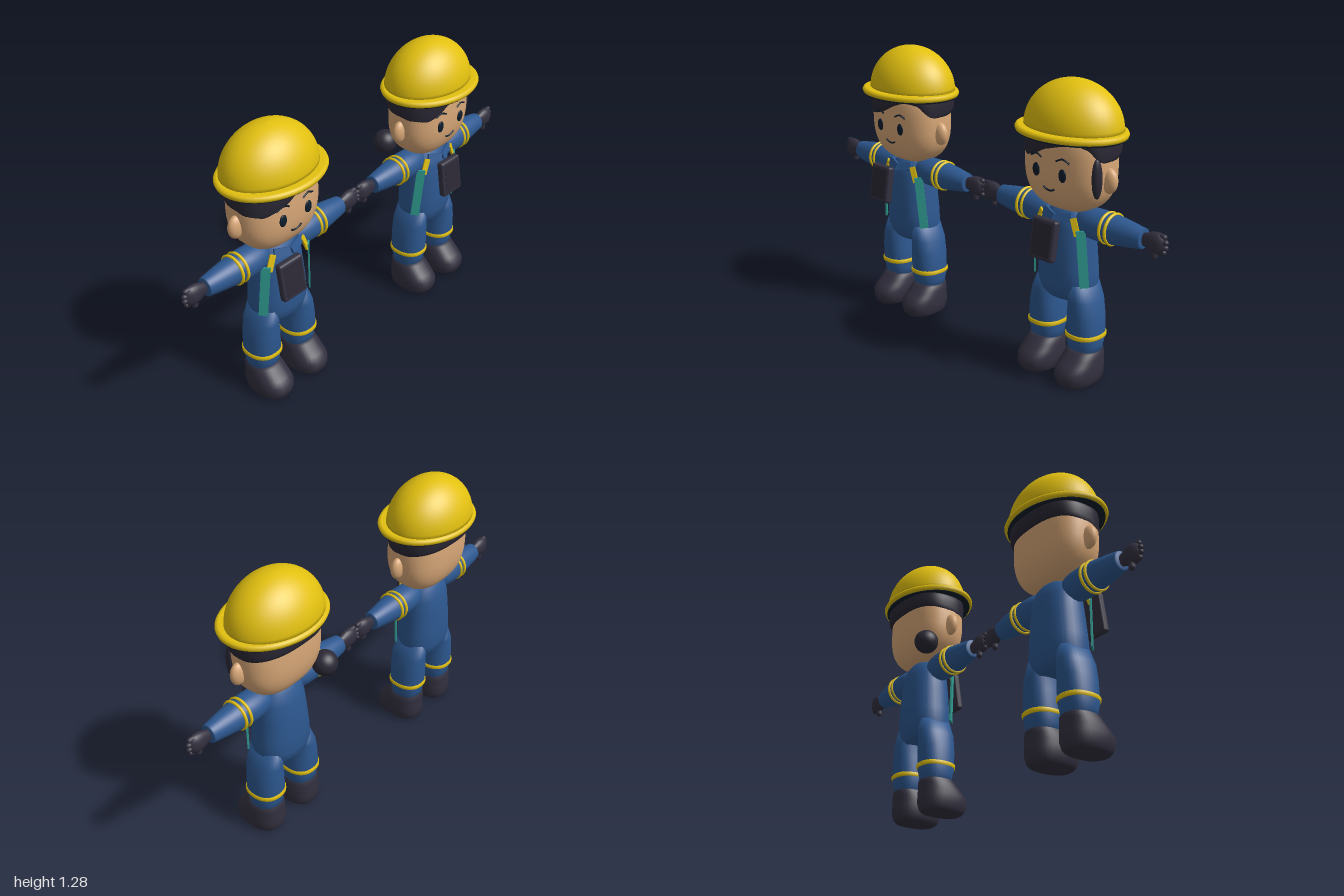
import * as THREE from 'three';
import { RoundedBoxGeometry } from 'three/addons/geometries/RoundedBoxGeometry.js';

const mat = (name, color) => {
  const m = new THREE.MeshStandardMaterial({ color });
  m.name = name;
  return m;
};

// Stacks superellipse rings [y or y(x, z), rx, rz, cx, cz] from bottom to top, with closed ends.
function loft(rings, p = 2, n = 32) {
  const pos = [], idx = [];
  const bend = (v) => Math.sign(v) * Math.abs(v) ** (2 / p);
  for (const [y, rx, rz, cx = 0, cz = 0] of rings) {
    for (let j = 0; j < n; j++) {
      const a = (j / n) * Math.PI * 2;
      const x = cx + rx * bend(Math.cos(a)), z = cz + rz * bend(Math.sin(a));
      pos.push(x, typeof y === 'function' ? y(x, z) : y, z);
    }
  }
  for (let i = 0; i < rings.length - 1; i++) {
    for (let j = 0; j < n; j++) {
      const a = i * n + j, b = i * n + ((j + 1) % n);
      idx.push(a, a + n, b, a + n, b + n, b);
    }
  }
  const last = (rings.length - 1) * n, c = rings.length * n;
  for (const [y, , , cx = 0, cz = 0] of [rings[0], rings[rings.length - 1]]) {
    pos.push(cx, typeof y === 'function' ? y(cx, cz) : y, cz);
  }
  for (let j = 0; j < n; j++) {
    const k = (j + 1) % n;
    idx.push(c, j, k, c + 1, last + k, last + j);
  }
  const g = new THREE.BufferGeometry();
  g.setAttribute('position', new THREE.Float32BufferAttribute(pos, 3));
  g.setIndex(idx);
  g.computeVertexNormals();
  return g;
}

const ball = (rx, ry, rz) => new THREE.SphereGeometry(1, 24, 16).scale(rx, ry, rz);

// Rounded head, also used to seat the face on its surface.
const HEAD = { y: 0.95, rx: 0.205, ry: 0.208, rz: 0.135, cz: -0.005, p: 2.6 };
const faceZ = (x, y) => {
  const k = (1 - Math.abs((y - HEAD.y) / HEAD.ry) ** HEAD.p) ** (1 / HEAD.p);
  return HEAD.cz + HEAD.rz * k * (1 - Math.abs(x / (HEAD.rx * k)) ** HEAD.p) ** (1 / HEAD.p);
};
const headGeometry = () => {
  const rings = [];
  for (let i = 0; i <= 24; i++) {
    const a = -Math.PI / 2 + (Math.PI * i) / 24;
    const s = Math.max(Math.cos(a), 0.001) ** (2 / HEAD.p);
    const h = Math.sign(Math.sin(a)) * Math.abs(Math.sin(a)) ** (2 / HEAD.p);
    rings.push([HEAD.y + HEAD.ry * h, HEAD.rx * s, HEAD.rz * s, 0, HEAD.cz]);
  }
  return loft(rings, HEAD.p, 48);
};

// Lower hair edge: a swept fringe in front, an even line behind.
const hairEdge = (fringe) => (x, z) => {
  let i = 0;
  while (i < fringe.length - 2 && x > fringe[i + 1][0]) i++;
  const [x0, y0] = fringe[i], [x1, y1] = fringe[i + 1];
  const front = THREE.MathUtils.lerp(y0, y1, THREE.MathUtils.clamp((x - x0) / (x1 - x0), 0, 1));
  const back = 0.97 - 0.22 * Math.min(0, z + 0.02);
  return THREE.MathUtils.lerp(back, front, THREE.MathUtils.smoothstep(z, 0.0, 0.05));
};

export function createModel() {
  const yellow = mat('safety yellow', 0xe2c010);
  const skin = mat('skin', 0xd9a878);
  const blue = mat('overall blue', 0x2d5890);
  const dark = mat('boot charcoal', 0x33303f);
  const hairMat = mat('hair', 0x2b2835);
  const teal = mat('strap teal', 0x2f9c92);
  const navy = mat('dark navy', 0x0d1c2b);

  const add = (parent, name, geometry, material, p = [0, 0, 0], r = [0, 0, 0]) => {
    const m = new THREE.Mesh(geometry, material);
    m.name = name;
    m.position.set(...p);
    m.rotation.set(...r);
    parent.add(m);
    return m;
  };
  const line = (parent, name, pts, radius) => {
    const curve = new THREE.CatmullRomCurve3(pts.map(([x, y]) => new THREE.Vector3(x, y, faceZ(x, y) + 0.002)));
    add(parent, name, new THREE.TubeGeometry(curve, 14, radius, 6), navy);
  };

  // Arm pointing along +x; the other arm is the same group turned around.
  function arm(name) {
    const g = new THREE.Group();
    g.name = name;
    const along = [0, 0, -Math.PI / 2];
    add(g, 'sleeve', loft([[0.06, 0.04, 0.04], [0.09, 0.058, 0.056], [0.13, 0.065, 0.064], [0.18, 0.066, 0.066],
      [0.25, 0.062, 0.06], [0.32, 0.053, 0.05], [0.385, 0.043, 0.04], [0.39, 0.038, 0.035]]), blue, [0, 0, 0], along);
    for (const x of [0.212, 0.24]) {
      add(g, 'sleeveStripe', new THREE.TorusGeometry(0.063, 0.007, 8, 32), yellow, [x, 0, 0], [0, Math.PI / 2, 0]);
    }
    add(g, 'glove', loft([[0.38, 0.026, 0.018], [0.4, 0.03, 0.02], [0.43, 0.043, 0.027], [0.46, 0.045, 0.027],
      [0.485, 0.034, 0.018]]), dark, [0, 0, 0], along);
    for (let i = 0; i < 4; i++) {
      const inset = i === 0 || i === 3 ? 0.008 : 0;
      add(g, 'finger', new THREE.CapsuleGeometry(0.012, 0.03, 4, 10), dark, [0.476 - inset, -0.031 + i * 0.021, 0], along);
    }
    add(g, 'thumb', new THREE.CapsuleGeometry(0.014, 0.03, 4, 10), dark, [0.442, -0.041, 0.003]);
    g.position.y = 0.71;
    return g;
  }

  function worker(name, x, fringe, padX, longHair) {
    const g = new THREE.Group();
    g.name = name;
    g.position.x = x;

    // Overalls
    add(g, 'torso', loft([[0.36, 0.09, 0.07], [0.385, 0.125, 0.09], [0.43, 0.138, 0.102], [0.5, 0.132, 0.104],
      [0.6, 0.122, 0.099], [0.68, 0.115, 0.09], [0.73, 0.1, 0.075], [0.765, 0.06, 0.05]]
      .map((r) => [...r, 0, -0.006]), 2.3), blue);
    for (const s of [1, -1]) {
      add(g, 'trouserLeg', loft([[0.12, 0.066, 0.068, 0.107], [0.17, 0.071, 0.074, 0.107], [0.205, 0.077, 0.083, 0.107],
        [0.3, 0.07, 0.086, 0.106], [0.37, 0.06, 0.087, 0.102], [0.44, 0.048, 0.08, 0.085]]
        .map(([y, rx, rz, cx]) => [y, rx, rz, cx * s, -0.005]), 2.3), blue);
      add(g, 'legStripe', loft([[0.203, 0.074, 0.083], [0.207, 0.08, 0.088], [0.221, 0.08, 0.088], [0.226, 0.074, 0.083]]
        .map((r) => [...r, 0.107 * s, -0.005]), 2.3), yellow);
      add(g, 'boot', loft([[0, 0.066, 0.095, 0, 0.03], [0.012, 0.077, 0.107, 0, 0.031], [0.04, 0.084, 0.116, 0, 0.032],
        [0.07, 0.084, 0.115, 0, 0.031], [0.095, 0.081, 0.102, 0, 0.02], [0.12, 0.077, 0.089, 0, 0.007],
        [0.142, 0.071, 0.079, 0, -0.002], [0.153, 0.06, 0.068, 0, -0.003]]
        .map(([y, rx, rz, , cz]) => [y, rx, rz, 0.108 * s, cz]), 2.4), dark);

      // Harness straps and collar
      add(g, 'strap', new THREE.BoxGeometry(0.04, 0.25, 0.008), teal, [0.131 * s, 0.565, 0.06], [0, 0.8 * s, 0.09 * s]);
      add(g, 'shoulderTab', new THREE.BoxGeometry(0.026, 0.075, 0.008), yellow, [0.098 * s, 0.7, 0.073], [-0.2, 0.45 * s, 0.4 * s]);
      add(g, 'collar', new THREE.BoxGeometry(0.075, 0.035, 0.012), blue, [0.04 * s, 0.728, 0.079], [-0.35, 0.2 * s, 0.3 * s]);

      // Ears, eyes and brows
      add(g, 'ear', ball(0.04, 0.053, 0.027), skin, [0.205 * s, 0.905, 0]);
      add(g, 'eye', ball(0.019, 0.028, 0.007), navy, [0.07 * s, 0.922, faceZ(0.07, 0.922) + 0.001]);
      line(g, 'brow', [[0.038 * s, 0.978], [0.07 * s, 0.99], [0.102 * s, 0.976]], 0.004);
    }
    line(g, 'mouth', [[-0.031, 0.859], [-0.016, 0.849], [0, 0.846], [0.016, 0.849], [0.031, 0.859]], 0.004);
    g.add(arm('leftArm'));
    const right = arm('rightArm');
    right.rotation.y = Math.PI;
    g.add(right);

    // Head and hair
    add(g, 'head', headGeometry(), skin);
    const edge = hairEdge(fringe);
    const above = (t) => (px, pz) => THREE.MathUtils.lerp(edge(px, pz), 1.075, t);
    add(g, 'hair', loft([[above(0), 0.18, 0.115], [above(0.06), 0.202, 0.142], [above(0.25), 0.209, 0.15],
      [above(0.7), 0.21, 0.152], [above(1), 0.205, 0.148]].map((r) => [...r, 0, -0.012]), 2.5, 72), hairMat);
    if (longHair) {
      add(g, 'sideLock', ball(0.02, 0.085, 0.025), hairMat, [0.187, 0.92, 0.055], [0.05, 0, 0]);
      add(g, 'hairBun', ball(0.056, 0.056, 0.056), hairMat, [-0.17, 0.795, -0.115]);
    }

    // Hard hat
    add(g, 'hatLining', loft([[1.056, 0.225, 0.172], [1.058, 0.24, 0.186], [1.068, 0.24, 0.186]], 2, 48), navy);
    add(g, 'hatBrim', loft([[1.064, 0.24, 0.186], [1.067, 0.25, 0.196], [1.078, 0.254, 0.2], [1.088, 0.249, 0.195],
      [1.091, 0.238, 0.184]], 2, 48), yellow);
    const dome = [];
    for (let i = 0; i <= 14; i++) {
      const a = (i / 14) * Math.PI / 2, c = Math.max(Math.cos(a), 0.001);
      dome.push([1.083 + 0.202 * Math.sin(a), 0.226 * c, 0.174 * c, 0, -0.013]);
    }
    add(g, 'hatDome', loft(dome, 2, 48), yellow);

    // Chest pad held in front of the body
    const pad = new THREE.Group();
    pad.name = 'chestPad';
    pad.position.set(padX, 0.641, 0.143);
    pad.rotation.x = -0.15;
    add(pad, 'padBody', new RoundedBoxGeometry(0.13, 0.175, 0.036, 3, 0.012), dark);
    add(pad, 'padScreen', new THREE.BoxGeometry(0.1, 0.14, 0.004), hairMat, [0, 0, 0.018]);
    g.add(pad);
    return g;
  }

  const model = new THREE.Group();
  model.name = 'twoWorkers';
  model.add(worker('shortHairedWorker', -0.497,
    [[-0.2, 0.95], [-0.15, 0.942], [-0.1, 0.965], [-0.04, 0.985], [0.02, 1.02], [0.1, 1.05], [0.16, 1.035], [0.2, 0.96]],
    -0.055, false));
  model.add(worker('longHairedWorker', 0.497,
    [[-0.2, 0.955], [-0.14, 0.95], [-0.08, 0.98], [-0.03, 1.01], [0.05, 1.035], [0.13, 1.05], [0.17, 1.03], [0.2, 0.96]],
    -0.005, true));
  return model;
}
